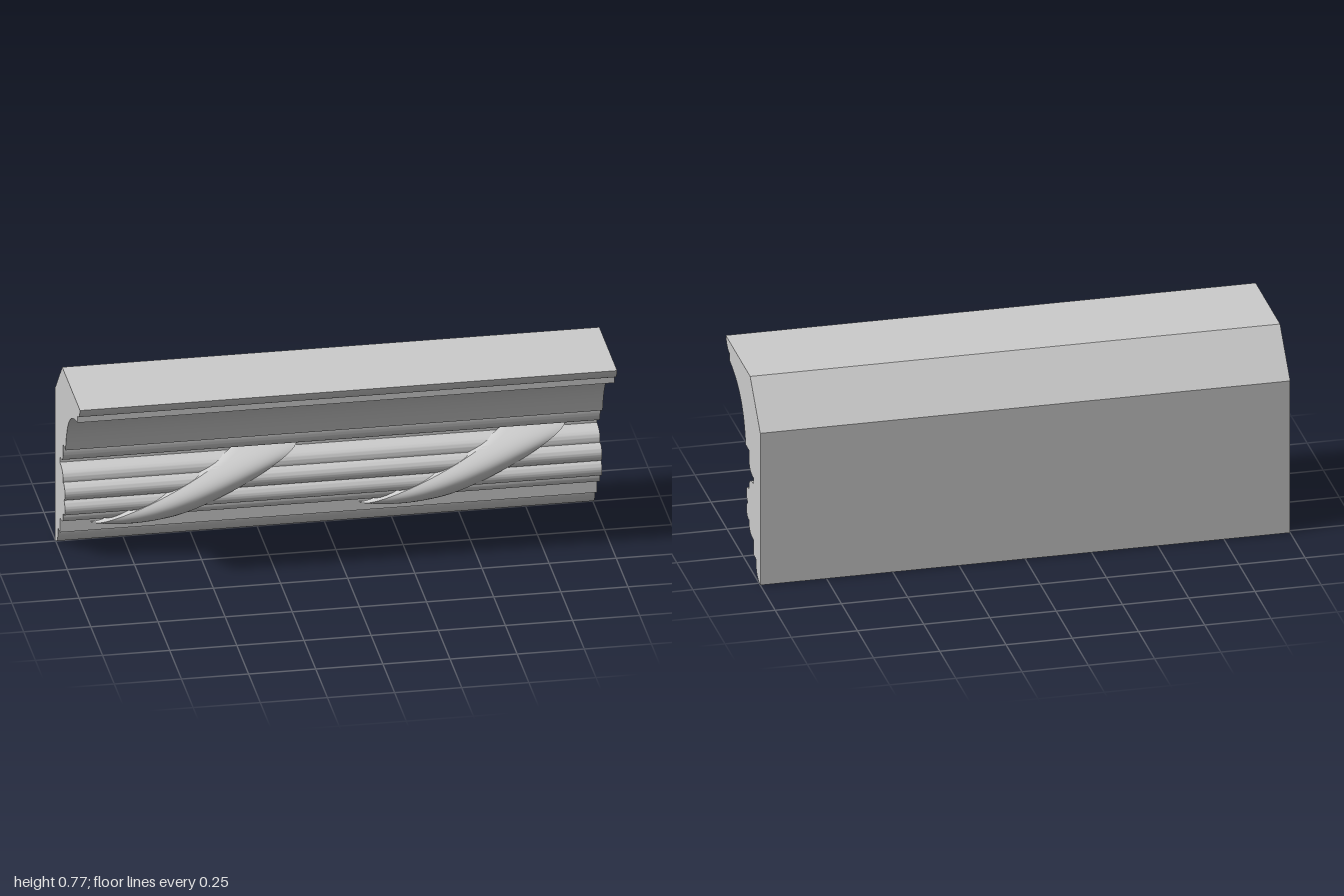
import * as THREE from 'three';
import { toCreasedNormals } from 'three/addons/utils/BufferGeometryUtils.js';

const LENGTH = 2;
const REED_Y = 0.247; // axis height of the reeded band

// Moulding cross-section, drawn as (z, y)
function mouldingProfile() {
  const s = new THREE.Shape();
  s.moveTo(-0.268, 0);
  s.lineTo(-0.268, 0.61);
  s.lineTo(-0.11, 0.77);
  s.lineTo(0.27, 0.77);
  // top lip and large cove
  s.bezierCurveTo(0.26, 0.74, 0.24, 0.724, 0.215, 0.722);
  s.lineTo(0.215, 0.695);
  s.bezierCurveTo(0.06, 0.665, -0.012, 0.6, -0.04, 0.465);
  // small ovolo below the cove
  s.lineTo(-0.092, 0.465);
  s.bezierCurveTo(-0.086, 0.41, -0.095, 0.384, -0.162, 0.384);
  // four reeds, symmetric about the band axis
  s.lineTo(-0.162, 0.36);
  s.bezierCurveTo(-0.11, 0.36, -0.088, 0.345, -0.092, 0.311);
  s.bezierCurveTo(-0.045, 0.315, -0.038, 0.262, -0.072, REED_Y);
  s.bezierCurveTo(-0.038, 0.232, -0.045, 0.18, -0.092, 0.185);
  s.bezierCurveTo(-0.088, 0.15, -0.11, 0.136, -0.162, 0.136);
  // bottom fillet and quarter round
  s.lineTo(-0.162, 0.076);
  s.lineTo(-0.197, 0.076);
  s.bezierCurveTo(-0.198, 0.03, -0.22, 0.003, -0.268, 0);
  return s;
}

// Slanted band bent over the reeds, domed across its width
function ribbonGeometry() {
  const across = 12;
  const geo = new THREE.PlaneGeometry(2, 2, across, 40);
  const pos = geo.attributes.position;
  for (let i = 0; i < pos.count; i++) {
    const u = pos.getX(i) * across / (across - 2);
    const s = THREE.MathUtils.clamp(u, -1, 1);
    const angle = pos.getY(i) * Math.PI / 2;
    // the outermost columns fold inward to sink the edges into the reeds
    const depth = Math.abs(u) > 1.01 ? 0.06 : 0.147 - 0.028 * s * s;
    const dy = (0.138 - 0.006 * s * s) * Math.sin(angle);
    pos.setXYZ(i, dy * 1.99 + s * 0.121, 0.245 + dy, -0.163 + depth * Math.cos(angle));
  }
  return toCreasedNormals(geo, 0.6);
}

export function createModel() {
  const model = new THREE.Group();
  model.name = 'corniceMoulding';
  const material = new THREE.MeshStandardMaterial({ color: 0xcccccc });
  const ribbonMaterial = new THREE.MeshStandardMaterial({ color: 0xcccccc, side: THREE.DoubleSide });

  // Long moulding body, swept along x
  const body = new THREE.ExtrudeGeometry(mouldingProfile(), {
    depth: LENGTH, bevelEnabled: false, curveSegments: 20,
  });
  body.translate(0, 0, -LENGTH / 2);
  body.rotateY(-Math.PI / 2);
  const moulding = new THREE.Mesh(toCreasedNormals(body, 0.5), material);
  moulding.name = 'moulding';
  model.add(moulding);

  // Ribbons at an even spacing
  const ribbon = ribbonGeometry();
  [-0.503, 0.497].forEach((x, i) => {
    const mesh = new THREE.Mesh(ribbon, ribbonMaterial);
    mesh.name = `ribbon${i + 1}`;
    mesh.position.x = x;
    model.add(mesh);
  });
  return model;
}
